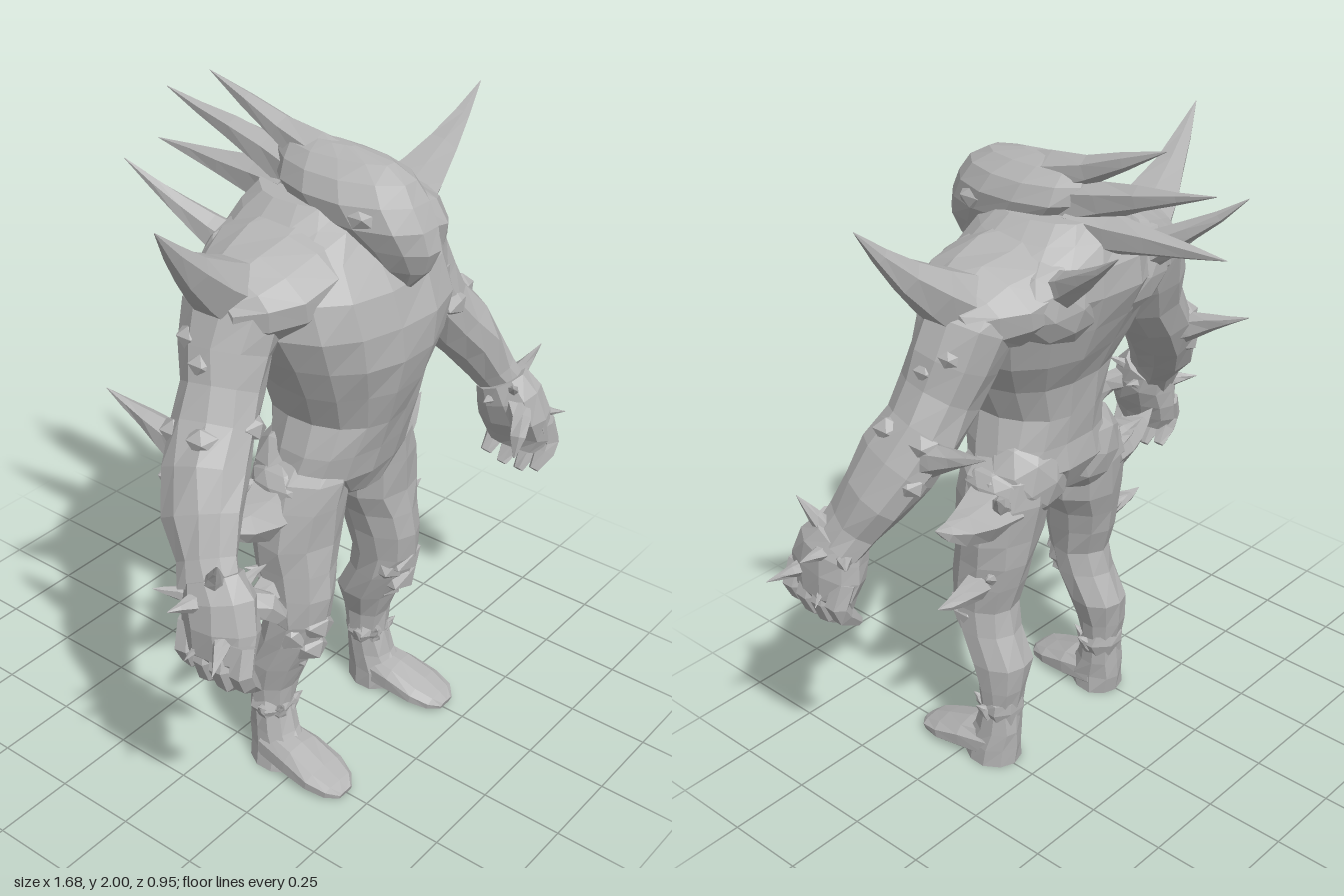
import * as THREE from 'three';

export function createModel() {
  const root = new THREE.Group();
  const stone = new THREE.MeshStandardMaterial({ color: 0xb4b4b4 });
  stone.name = 'stone';
  const V = (x, y, z) => new THREE.Vector3(x, y, z);

  // seeded roughness for chiselled facets
  let seed = 7;
  const rough = (k) => {
    seed = (seed * 16807) % 2147483647;
    return (seed / 2147483647 - 0.5) * 2 * k;
  };

  function add(name, geometry, parent) {
    const g = geometry.index ? geometry.toNonIndexed() : geometry;
    g.computeVertexNormals(); // one normal per facet
    const mesh = new THREE.Mesh(g, stone);
    mesh.name = name;
    parent.add(mesh);
  }

  // Skin over rows of [x, y, z, half width, half depth]; level keeps rings horizontal
  function loft(name, parent, rows, { sides = 10, level = false, jitter = 0.005, square = 1 } = {}) {
    const pts = rows.map((r) => V(r[0], r[1], r[2]));
    const n = rows.length;
    const whole = pts[n - 1].clone().sub(pts[0]).normalize();
    const ref = Math.abs(whole.z) > 0.75 ? V(0, 1, 0) : V(0, 0, 1);
    const pos = [], idx = [];
    rows.forEach((r, i) => {
      const t = level
        ? V(0, Math.sign(whole.y), 0)
        : pts[Math.min(i + 1, n - 1)].clone().sub(pts[Math.max(i - 1, 0)]).normalize();
      const v = ref.clone().addScaledVector(t, -ref.dot(t)).normalize();
      const u = v.clone().cross(t);
      const k = Math.min(jitter, r[3] * 0.2);
      for (let j = 0; j < sides; j++) {
        const a = ((j + 0.5) / sides) * Math.PI * 2;
        const c = Math.cos(a), s = Math.sin(a);
        const p = pts[i].clone()
          .addScaledVector(u, r[3] * Math.sign(c) * Math.abs(c) ** square + rough(k))
          .addScaledVector(v, r[4] * Math.sign(s) * Math.abs(s) ** square + rough(k));
        pos.push(p.x, Math.max(p.y, 0), p.z);
        if (i < n - 1) {
          const A = i * sides + j, B = i * sides + ((j + 1) % sides);
          idx.push(A, B, B + sides, A, B + sides, A + sides);
        }
      }
    });
    const first = n * sides, last = (n - 1) * sides;
    pos.push(...pts[0].toArray(), ...pts[n - 1].toArray());
    for (let j = 0; j < sides; j++) {
      const k = (j + 1) % sides;
      idx.push(first, k, j, first + 1, last + j, last + k);
    }
    const g = new THREE.BufferGeometry();
    g.setAttribute('position', new THREE.Float32BufferAttribute(pos, 3));
    g.setIndex(idx);
    add(name, g, parent);
  }

  // Tapering horn from base to tip, bowed by an offset at its middle
  function spike(name, parent, base, tip, r, bow = [0, 0, 0]) {
    const mid = V(...base).lerp(V(...tip), 0.5).add(V(...bow));
    const curve = new THREE.QuadraticBezierCurve3(V(...base), mid, V(...tip));
    const rows = [0, 0.25, 0.5, 0.75, 1].map((t) => {
      const w = Math.max(r * (1 - t), 0.001);
      return [...curve.getPoint(t).toArray(), w, w];
    });
    loft(name, parent, rows, { sides: 6, jitter: 0.003 });
  }

  function lump(name, parent, at, size, detail = 0) {
    const g = new THREE.IcosahedronGeometry(1, detail);
    g.scale(...size);
    g.rotateZ(0.3 * Math.sign(at[0]));
    g.translate(...at);
    add(name, g, parent);
  }

  // rows of [y, half width, back z, front z]
  const bodyRows = (list) => list.map(([y, w, b, f]) => [0, y, (b + f) / 2, w, (f - b) / 2]);

  // Torso and pelvis
  loft('torso', root, bodyRows([
    [0.865, 0.04, 0.12, 0.24], [0.92, 0.13, 0.05, 0.31], [1.0, 0.24, 0.01, 0.345],
    [1.08, 0.222, 0.01, 0.37], [1.17, 0.197, 0.005, 0.39], [1.28, 0.24, -0.005, 0.42],
    [1.38, 0.295, -0.055, 0.445], [1.48, 0.33, -0.095, 0.447], [1.58, 0.335, -0.138, 0.415],
    [1.66, 0.29, -0.13, 0.355], [1.725, 0.2, -0.1, 0.32], [1.77, 0.14, -0.06, 0.28],
  ]), { sides: 16, level: true, jitter: 0.007, square: 0.9 });

  // Head with a narrow chin, and the crest swept back from it
  loft('head', root, bodyRows([
    [1.565, 0.025, 0.35, 0.415], [1.62, 0.06, 0.24, 0.465], [1.68, 0.095, 0.12, 0.49],
    [1.74, 0.128, 0.03, 0.475], [1.8, 0.135, -0.02, 0.44], [1.85, 0.108, -0.02, 0.405],
    [1.885, 0.062, -0.01, 0.34], [1.905, 0.02, 0.06, 0.22],
  ]), { sides: 12, level: true, jitter: 0.004 });
  loft('crest', root, [
    [0, 1.83, 0.24, 0.06, 0.06], [0, 1.855, 0.1, 0.06, 0.065], [0, 1.895, -0.02, 0.04, 0.04],
    [0, 1.945, -0.14, 0.024, 0.024], [0, 2.0, -0.27, 0.001, 0.001],
  ], { sides: 6, jitter: 0.002 });
  spike('maneSpikeUpper', root, [0, 1.79, 0.05], [0, 1.92, -0.43], 0.07);
  spike('maneSpikeLower', root, [0, 1.73, 0.02], [0, 1.76, -0.47], 0.08);

  for (const s of [1, -1]) {
    const side = new THREE.Group();
    side.name = s > 0 ? 'leftSide' : 'rightSide';
    root.add(side);
    const m = (rows) => rows.map(([x, ...rest]) => [x * s, ...rest]);
    const P = (x, y, z) => [x * s, y, z];
    const horn = (name, a, b, r, bow = [0, 0, 0]) => spike(name, side, P(...a), P(...b), r, P(...bow));
    const knob = (name, at, size, d) => lump(name, side, P(...at), size, d);

    // Head and back details
    knob('brow', [0.1, 1.765, 0.31], [0.035, 0.035, 0.06]);
    knob('shoulderBlade', [0.14, 1.57, -0.015], [0.17, 0.13, 0.105], 1);
    knob('buttock', [0.11, 0.98, 0.13], [0.145, 0.15, 0.12], 1);
    horn('backSpike', [0.17, 1.61, -0.04], [0.27, 1.815, -0.34], 0.06, [0, -0.02, 0]);

    // Shoulder mass joining chest, back and arm
    loft('shoulder', side, m([
      [0.05, 1.63, 0.11, 0.13, 0.2], [0.2, 1.6, 0.12, 0.13, 0.22], [0.3, 1.575, 0.12, 0.125, 0.195],
      [0.38, 1.565, 0.115, 0.105, 0.15], [0.44, 1.56, 0.11, 0.06, 0.085],
    ]), { sides: 12, jitter: 0.007 });

    // Arm
    loft('arm', side, m([
      [0.31, 1.61, 0.11, 0.08, 0.13], [0.36, 1.54, 0.11, 0.12, 0.145], [0.395, 1.45, 0.115, 0.118, 0.13],
      [0.435, 1.36, 0.135, 0.103, 0.118], [0.49, 1.27, 0.15, 0.1, 0.122], [0.56, 1.18, 0.18, 0.1, 0.122],
      [0.615, 1.09, 0.22, 0.082, 0.112], [0.655, 1.0, 0.27, 0.062, 0.085], [0.685, 0.94, 0.3, 0.065, 0.085],
    ]), { jitter: 0.007 });
    horn('shoulderSpike', [0.37, 1.6, 0.11], [0.68, 1.88, 0.155], 0.1, [0.02, -0.025, 0]);
    horn('elbowSpike', [0.54, 1.21, 0.1], [0.565, 1.31, -0.155], 0.055);
    for (const [x, y, z, r] of [
      [0.485, 1.44, 0.12, 0.045], [0.46, 1.49, 0.06, 0.045], [0.455, 1.29, 0.24, 0.05], [0.57, 1.28, 0.19, 0.05],
      [0.55, 1.26, 0.08, 0.05], [0.43, 1.4, 0.21, 0.04], [0.59, 1.15, 0.1, 0.045],
    ]) knob('armStud', [x, y, z], [r, r * 0.8, r]);

    // Fist with curled fingers
    loft('hand', side, m([
      [0.67, 0.97, 0.3, 0.07, 0.085], [0.68, 0.92, 0.325, 0.085, 0.11],
      [0.695, 0.85, 0.34, 0.078, 0.122], [0.71, 0.78, 0.345, 0.058, 0.115], [0.7, 0.73, 0.345, 0.035, 0.09],
    ]));
    [0.255, 0.315, 0.375, 0.435].forEach((z, i) => {
      const d = i === 0 || i === 3 ? 0.02 : 0;
      loft('finger', side, m([
        [0.715, 0.84, z, 0.036, 0.036], [0.738, 0.76 + d / 2, z + 0.01, 0.036, 0.036],
        [0.72, 0.71 + d, z + 0.01, 0.034, 0.034], [0.675, 0.665 + d, z + 0.005, 0.015, 0.018],
      ]), { sides: 6, jitter: 0.003 });
    });
    loft('thumb', side, m([
      [0.65, 0.91, 0.37, 0.045, 0.045], [0.6, 0.89, 0.42, 0.038, 0.035],
      [0.57, 0.85, 0.435, 0.026, 0.026], [0.545, 0.79, 0.44, 0.003, 0.003],
    ]), { sides: 6, jitter: 0.003 });
    for (const [a, b, r] of [
      [[0.69, 0.95, 0.32], [0.75, 1.08, 0.385], 0.04], [[0.69, 0.92, 0.31], [0.835, 0.945, 0.29], 0.045],
      [[0.7, 0.86, 0.37], [0.84, 0.82, 0.44], 0.04], [[0.69, 0.91, 0.28], [0.77, 0.93, 0.18], 0.04],
      [[0.68, 0.93, 0.34], [0.58, 1.0, 0.4], 0.04], [[0.7, 0.84, 0.33], [0.79, 0.77, 0.3], 0.035],
      [[0.67, 0.91, 0.3], [0.56, 0.93, 0.31], 0.04],
    ]) horn('wristSpike', a, b, r);

    // Leg and foot
    loft('leg', side, m([
      [0.115, 1.08, 0.18, 0.08, 0.11], [0.15, 1.0, 0.172, 0.125, 0.143], [0.166, 0.92, 0.17, 0.134, 0.142],
      [0.18, 0.8, 0.175, 0.134, 0.128], [0.197, 0.72, 0.185, 0.112, 0.124], [0.207, 0.64, 0.2, 0.096, 0.122],
      [0.215, 0.55, 0.21, 0.092, 0.102], [0.22, 0.47, 0.19, 0.092, 0.097], [0.225, 0.37, 0.145, 0.089, 0.097],
      [0.235, 0.28, 0.132, 0.072, 0.073], [0.235, 0.2, 0.135, 0.064, 0.062], [0.24, 0.12, 0.145, 0.067, 0.075],
      [0.245, 0.06, 0.165, 0.072, 0.095], [0.25, 0, 0.165, 0.078, 0.09],
    ]), { level: true });
    loft('foot', side, m([
      [0.245, 0.06, 0.14, 0.07, 0.06], [0.25, 0.05, 0.25, 0.08, 0.052],
      [0.257, 0.034, 0.34, 0.082, 0.035], [0.26, 0.022, 0.4, 0.065, 0.024], [0.26, 0.012, 0.43, 0.03, 0.012],
    ]), { jitter: 0.002, square: 0.8 });

    // Hip and thigh horns
    knob('hipKnob', [0.205, 0.96, 0.16], [0.085, 0.08, 0.11], 1);
    horn('hipHorn', [0.22, 0.905, 0.145], [0.48, 0.94, 0.135], 0.105, [0.05, -0.05, 0]);
    horn('hipThorn', [0.25, 0.93, 0.1], [0.32, 1.0, 0.05], 0.04);
    horn('thighSpike', [0.23, 0.66, 0.17], [0.457, 0.65, 0.165], 0.06, [0.03, -0.025, 0]);
    horn('thighThorn', [0.25, 0.67, 0.14], [0.32, 0.71, 0.1], 0.035);

    // Knee plates
    for (const [x, y, z, w, h] of [
      [0.215, 0.535, 0.27, 0.07, 0.05], [0.175, 0.51, 0.24, 0.05, 0.055], [0.265, 0.515, 0.23, 0.05, 0.06],
      [0.22, 0.455, 0.255, 0.065, 0.05], [0.225, 0.4, 0.205, 0.055, 0.045],
    ]) knob('kneePlate', [x, y, z], [w, h, 0.055]);

    // Ankle cuff with a ragged rim
    loft('ankleCuff', side, m([
      [0.235, 0.155, 0.135, 0.06, 0.06], [0.235, 0.2, 0.135, 0.078, 0.068], [0.235, 0.235, 0.13, 0.066, 0.064],
    ]), { sides: 8, level: true });
    for (const [dx, dz] of [[1, 0.2], [-1, 0.2], [0.5, 0.8], [-0.5, 0.8]]) {
      horn('cuffPoint', [0.235 + dx * 0.05, 0.19, 0.135 + dz * 0.05],
        [0.235 + dx * 0.095, 0.235, 0.135 + dz * 0.09], 0.028);
    }
  }
  return root;
}
